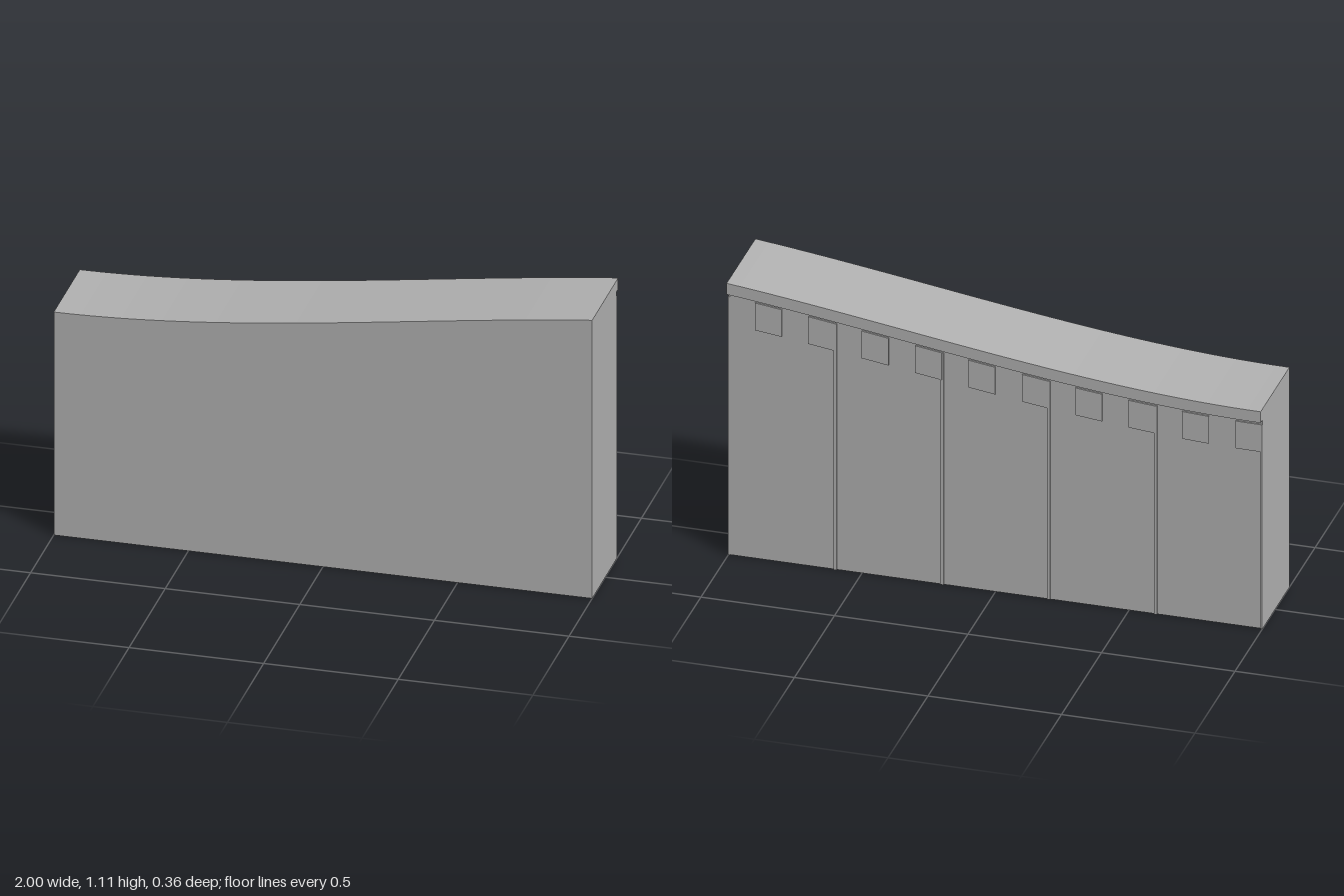
import * as THREE from 'three';

// Height of the sloping, gently S-curved top edge at x
const topY = (x) => 0.973 + 0.1373 * x + 0.027 * x * x - 0.0273 * x ** 3;

export function createModel() {
  const model = new THREE.Group();
  model.name = 'slopingWall';
  const grey = new THREE.MeshStandardMaterial({ color: 0xb2b2b2 });
  grey.name = 'plain grey';

  // Slab from x0 to x1 and zBack to zFront. Its top follows the curve, lowered
  // by drop; its foot is flat on the ground, or follows the curve if height is given.
  function slab(name, x0, x1, zBack, zFront, drop, height, steps) {
    const shape = new THREE.Shape();
    const at = (i) => x0 + ((x1 - x0) * i) / steps;
    const foot = (x) => (height ? topY(x) - drop - height : 0);
    shape.moveTo(x0, foot(x0));
    const footSteps = height ? steps : 1;
    for (let i = 1; i <= footSteps; i++) {
      const x = x0 + ((x1 - x0) * i) / footSteps;
      shape.lineTo(x, foot(x));
    }
    for (let i = steps; i >= 0; i--) shape.lineTo(at(i), topY(at(i)) - drop);
    const geometry = new THREE.ExtrudeGeometry(shape, { depth: zFront - zBack, bevelEnabled: false });
    geometry.translate(0, 0, zBack);
    const mesh = new THREE.Mesh(geometry, grey);
    mesh.name = name;
    model.add(mesh);
  }

  // Main wall and the overhanging lip along its back top edge
  slab('wall', -1, 1, -0.155, 0.18, 0, 0, 40);
  slab('backLip', -1, 1, -0.18, -0.155, 0, 0.045, 40);

  // Thin upright ribs dividing the back into five bays
  for (let i = 0; i <= 5; i++) {
    const x = -1 + i * 0.4;
    slab('backRib', Math.max(-1, x - 0.006), Math.min(1, x + 0.006), -0.16, -0.155, 0.063, 0, 1);
  }

  // Row of square blocks below the lip
  for (let i = 0; i < 10; i++) {
    const x = -1 + i * 0.2;
    slab('backBlock', x, x + 0.1, -0.1605, -0.155, 0.063, 0.11, 2);
  }
  return model;
}
